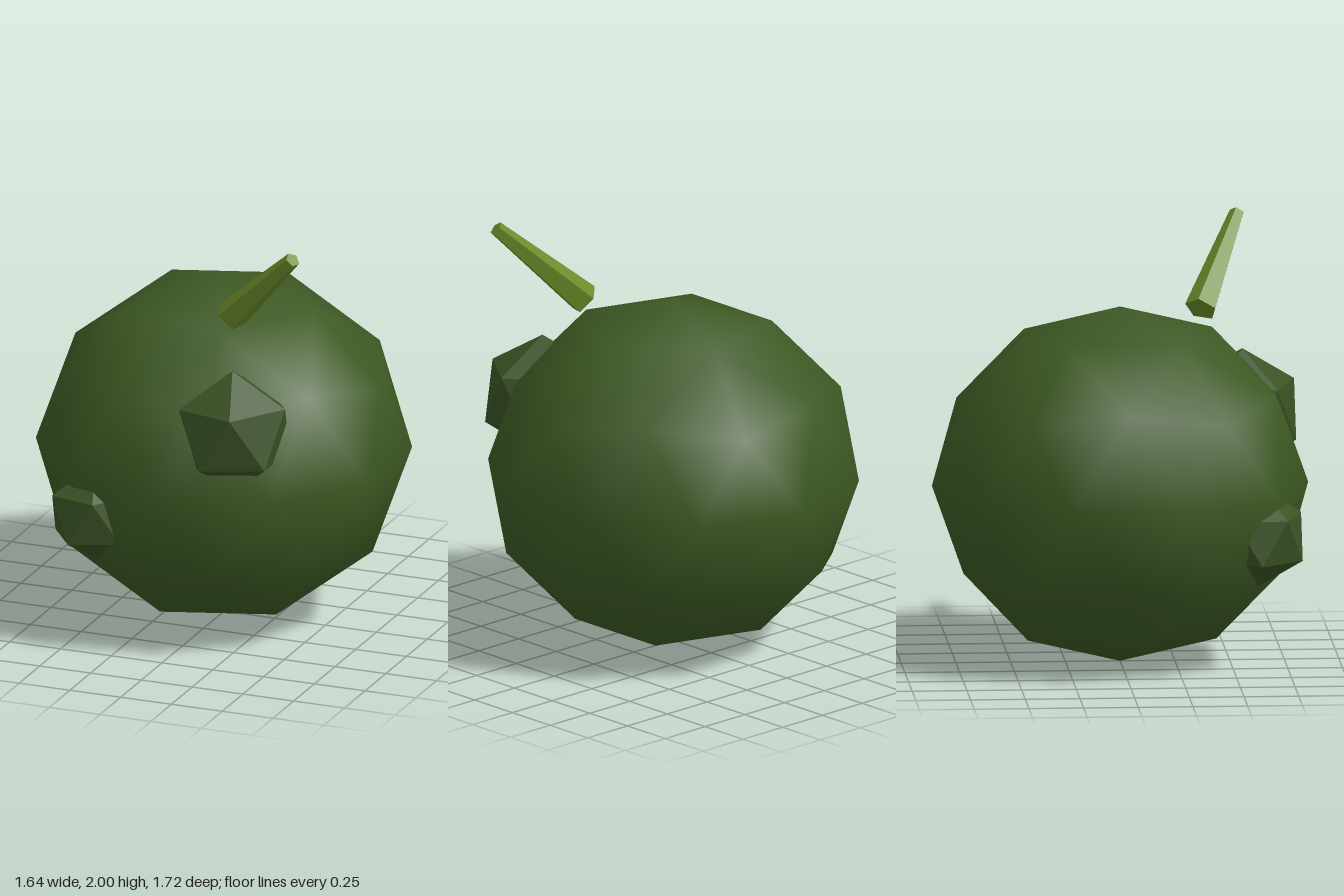
import * as THREE from 'three';

const material = (name, color, flatShading) => {
  const m = new THREE.MeshStandardMaterial({ color, flatShading });
  m.name = name;
  return m;
};

export function createModel() {
  const group = new THREE.Group();
  const skin = material('dark green skin', 0x3c5923, false);
  const wartGreen = material('wart green', 0x3a5224, true);
  const stemGreen = material('olive stem', 0x6b8a28, true);

  const add = (name, geometry, mat) => {
    const mesh = new THREE.Mesh(geometry, mat);
    mesh.name = name;
    group.add(mesh);
    return mesh;
  };

  // Body: smooth icosphere with a vertex at each pole, slightly flattened
  const golden = (1 + Math.sqrt(5)) / 2;
  const bodyGeometry = new THREE.IcosahedronGeometry(0.86, 1);
  bodyGeometry.rotateZ(-Math.atan(1 / golden));
  bodyGeometry.scale(1, 0.82 / 0.86, 1);
  add('body', bodyGeometry, skin).position.y = 0.822;

  // Warts: faceted lumps half sunk into the skin
  const warts = [
    ['largeWart', 0.285, [0.285, 1.11, 0.577]],
    ['smallWart', 0.228, [-0.38, 0.635, 0.612]],
  ];
  for (const [name, radius, position] of warts) {
    const geometry = new THREE.IcosahedronGeometry(radius, 0).rotateZ(-Math.PI / 6);
    add(name, geometry, wartGreen).position.set(...position);
  }

  // Stem: tapered five-sided stalk leaning outwards
  const base = new THREE.Vector3(0.195, 1.592, 0.383);
  const tip = new THREE.Vector3(0.572, 1.974, 0.574);
  const axis = tip.clone().sub(base);
  const length = axis.length();
  axis.normalize();
  const side = new THREE.Vector3().crossVectors(axis, new THREE.Vector3(0.008, 0.02, -0.072)).normalize();
  const corner = new THREE.Vector3().crossVectors(side, axis);
  const stem = add('stem', new THREE.CylinderGeometry(0.035, 0.076, length, 5), stemGreen);
  stem.quaternion.setFromRotationMatrix(new THREE.Matrix4().makeBasis(side, axis, corner));
  stem.position.copy(base).lerp(tip, 0.5);

  return group;
}
